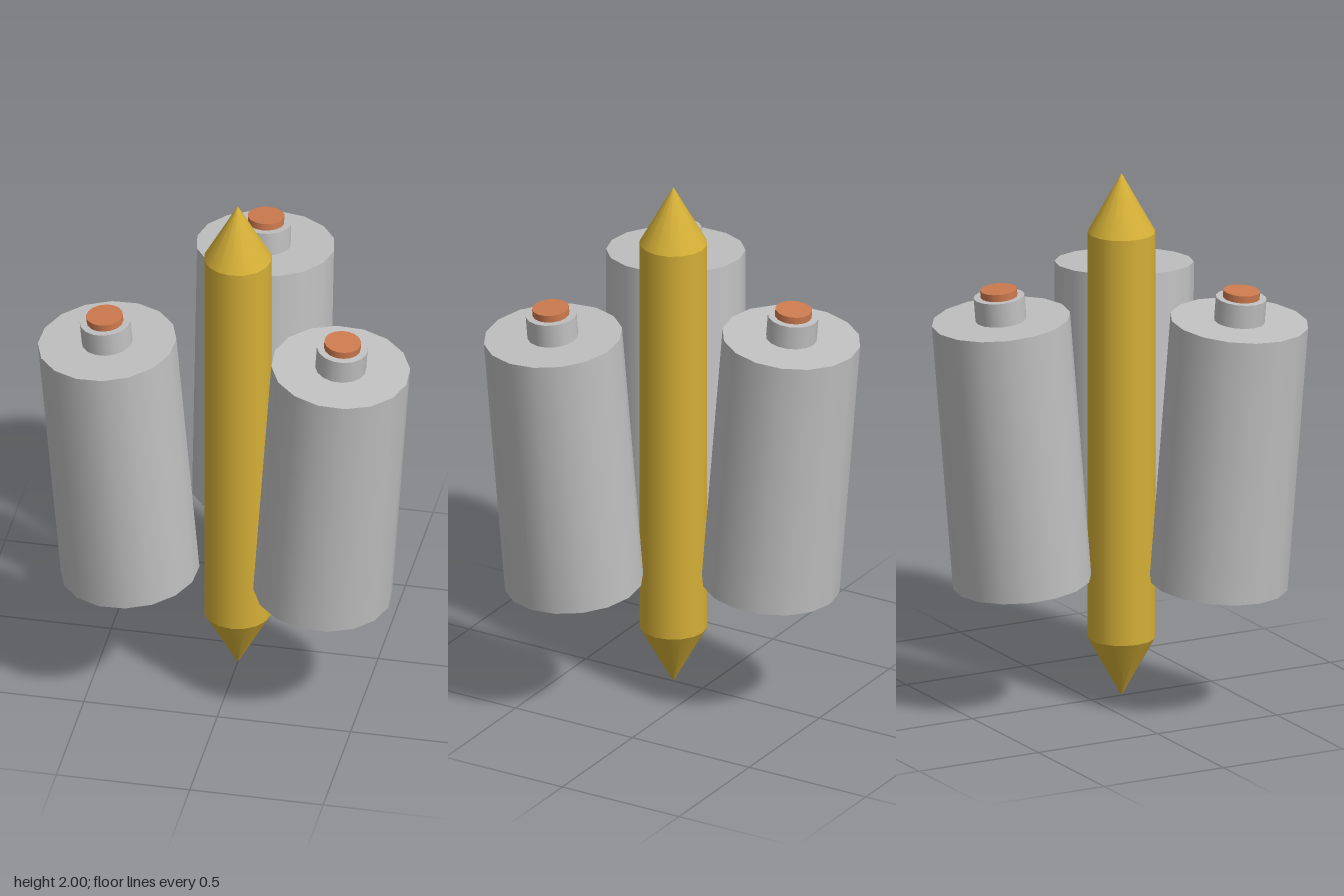
import * as THREE from 'three';

const SIDES = 16;

export function createModel() {
  const gold = new THREE.MeshStandardMaterial({ name: 'gold', color: 0xd4af37 });
  const silver = new THREE.MeshStandardMaterial({ name: 'silver', color: 0xc0c0c0 });
  const copper = new THREE.MeshStandardMaterial({ name: 'copper', color: 0xcd7a4e });

  const model = new THREE.Group();
  model.name = 'canisterCluster';

  function add(parent, name, geometry, material, y) {
    const mesh = new THREE.Mesh(geometry, material);
    mesh.name = name;
    mesh.position.y = y;
    parent.add(mesh);
    return mesh;
  }

  // Everything is arranged around the rod axis
  const hub = new THREE.Group();
  hub.name = 'hub';
  hub.position.z = 0.125;
  model.add(hub);

  // Central rod, pointed at both ends
  const rodRadius = 0.125, tipHeight = 0.225;
  const tip = new THREE.ConeGeometry(rodRadius, tipHeight, SIDES, 1, true);
  add(hub, 'rod', new THREE.CylinderGeometry(rodRadius, rodRadius, 2 - 2 * tipHeight, SIDES, 1, true), gold, 1);
  add(hub, 'topTip', tip, gold, 2 - tipHeight / 2);
  add(hub, 'bottomTip', tip, gold, tipHeight / 2).rotation.x = Math.PI;

  // Canister parts: body, neck and contact button
  const bodyHeight = 1.02, neckHeight = 0.09, buttonHeight = 0.027;
  const body = new THREE.CylinderGeometry(0.256, 0.256, bodyHeight, SIDES);
  const neck = new THREE.CylinderGeometry(0.094, 0.094, neckHeight, SIDES);
  const button = new THREE.CylinderGeometry(0.068, 0.068, buttonHeight, SIDES);

  // Three canisters around the rod, each leaning outward
  ['backCanister', 'leftCanister', 'rightCanister'].forEach((name, i) => {
    const arm = new THREE.Group();
    arm.name = name;
    arm.rotation.y = Math.PI + (i * 2 * Math.PI) / 3;
    const canister = new THREE.Group();
    canister.name = name + 'Tilt';
    canister.position.set(0, 1.004, 0.461);
    canister.rotation.x = THREE.MathUtils.degToRad(5);
    add(canister, 'body', body, silver, 0);
    add(canister, 'neck', neck, silver, (bodyHeight + neckHeight) / 2);
    add(canister, 'contactButton', button, copper, bodyHeight / 2 + neckHeight + buttonHeight / 2);
    arm.add(canister);
    hub.add(arm);
  });

  return model;
}
